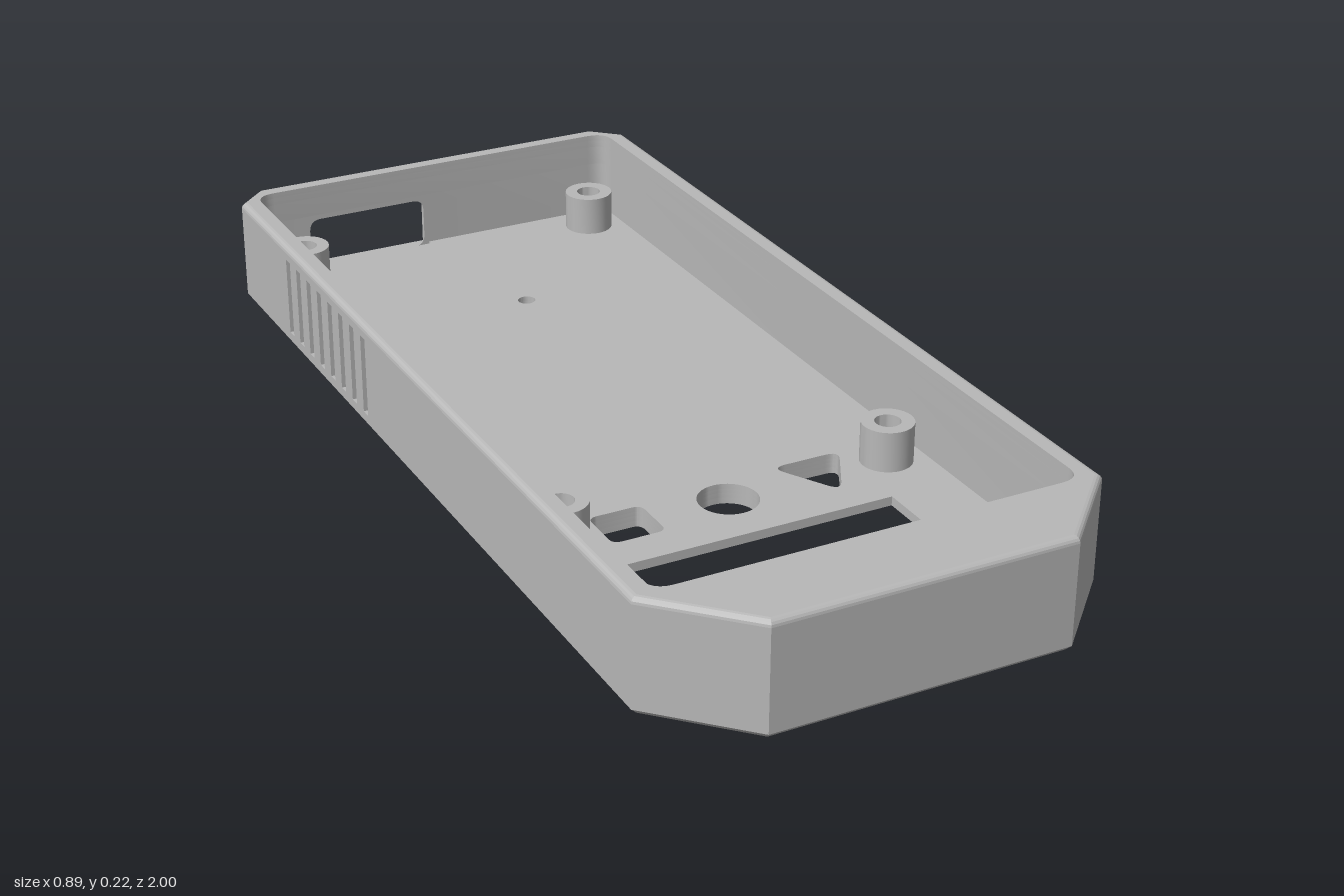
import * as THREE from 'three';
import { toCreasedNormals } from 'three/addons/utils/BufferGeometryUtils.js';

// Plan coordinates are [x, s] with s = -z, so the back of the case is +s.
const FLOOR = 0.04, RIM = 0.217, EDGE = 0.012;
const V = (p) => new THREE.Vector2(p[0], p[1]);

// Polygon whose corners are [x, s, r], softened by r where given
function rounded(verts, r = 0) {
  const out = [];
  verts.forEach((v, i) => {
    const c = V(v), d = v[2] ?? r;
    if (!d) return out.push([c.x, c.y]);
    const a = V(verts[(i + verts.length - 1) % verts.length]).sub(c).setLength(d).add(c);
    const b = V(verts[(i + 1) % verts.length]).sub(c).setLength(d).add(c);
    new THREE.QuadraticBezierCurve(a, c, b).getPoints(6).forEach((p) => out.push([p.x, p.y]));
  });
  return out;
}
const rect = (x0, x1, s0, s1, r = 0) => rounded([[x1, s1], [x1, s0], [x0, s0], [x0, s1]], r);
function circle(x, s, r, n = 32) {
  return Array.from({ length: n }, (_, i) => {
    const a = (i / n) * Math.PI * 2;
    return [x + r * Math.cos(a), s + r * Math.sin(a)];
  });
}

// Horizontal slab between two heights
function slab(outline, holes, y0, y1) {
  const shape = new THREE.Shape(outline.map(V));
  shape.holes = holes.map((h) => new THREE.Path(h.map(V)));
  const g = new THREE.ExtrudeGeometry(shape, { depth: y1 - y0, bevelEnabled: false });
  g.rotateX(-Math.PI / 2).translate(0, y0, 0);
  return toCreasedNormals(g, 0.6);
}

// Outer plan, with optional vent grooves in the sides and extra points along the back
function outline(inset = 0, grooves = false, back = []) {
  const k = inset * 0.414, w = 0.443 - inset, e = 1 - inset;
  const side = [[0.285 - k, -e], [w, -0.84 + k]];
  if (grooves) {
    for (let i = 0; i < 8; i++) {
      const s = 0.265 + i * 0.057;
      side.push([w, s], [w - 0.016, s], [w - 0.016, s + 0.022], [w, s + 0.022]);
    }
  }
  side.push([w, 0.945 - k], [0.385 - k, e]);
  const mirrored = side.map(([x, s]) => [-x, s]).reverse();
  return [...side, ...back, ...mirrored];
}

// Inner cavity, clockwise from the back +x corner, with optional clip pockets in the front wall
function cavity(clips = false) {
  const f = -0.835, p = -0.88, r = 0.04;
  const pocket = (a, b) => [[a, f, 0], [a, p, 0], [b, p, 0], [b, f, 0]];
  return rounded([
    [0.405, 0.965, r], [0.405, f, r],
    ...(clips ? [...pocket(0.32, 0.1), ...pocket(-0.1, -0.32)] : []),
    [-0.405, f, r], [-0.405, 0.965, r],
  ]);
}

// Sloping strip between two inset outlines
function band(i0, y0, i1, y1) {
  const a = outline(i0), b = outline(i1), pos = [];
  a.forEach((_, i) => {
    const j = (i + 1) % a.length;
    const P = (p, y) => [p[0], y, -p[1]];
    pos.push(...P(a[i], y0), ...P(a[j], y0), ...P(b[j], y1),
      ...P(a[i], y0), ...P(b[j], y1), ...P(b[i], y1));
  });
  const g = new THREE.BufferGeometry();
  g.setAttribute('position', new THREE.Float32BufferAttribute(pos, 3));
  g.computeVertexNormals();
  return g;
}

export function createModel() {
  const model = new THREE.Group();
  model.name = 'enclosureHalf';
  const grey = new THREE.MeshStandardMaterial({ color: 0xb8b8b8 });
  grey.name = 'grey plastic';
  const add = (name, g) => {
    const m = new THREE.Mesh(g, grey);
    m.name = name;
    model.add(m);
    return m;
  };

  // Openings that pass through the floor
  const posts = [[-0.33, 0.89], [0.33, 0.89], [-0.33, -0.35], [0.33, -0.35]];
  const through = [
    ...posts.map(([x, s]) => circle(x, s, 0.035)),
    circle(0.04, 0.59, 0.018, 20),
    circle(0, -0.35, 0.057, 40),
    rect(-0.255, -0.15, -0.4, -0.3, 0.018),
    rounded([[0.125, -0.283], [0.27, -0.283], [0.198, -0.413]], 0.03),
  ];
  const windowHole = (m) => rect(-0.265 - m, 0.265 + m, -0.795 - m, -0.475 + m);

  // Shallow decoration sunk into the underside
  const discs = [[0.14, 0.36], [-0.14, 0.36], [0, -0.073]].map(([x, s]) => circle(x, s, 0.063, 40));
  const studs = [[0.23, 0.09], [-0.23, 0.09]];
  const ribs = [];
  for (let i = 0; i < 8; i++) {
    const s = 0.345 - i * 0.045;
    const d = Math.max(0, Math.abs(s - 0.36) - 0.01);
    let half = 0.14 * (s + 0.073) / 0.433;
    if (d < 0.063) half = Math.min(half, 0.13 - Math.sqrt(0.063 ** 2 - d * d));
    ribs.push(rect(-half, half, s - 0.01, s + 0.01));
  }

  // Floor, in layers from the underside up
  add('bottomChamfer', band(EDGE, 0, 0, EDGE));
  add('undersidePlate', slab(outline(EDGE),
    [...through, windowHole(0.045), ...discs, ...ribs, ...studs.map(([x, s]) => circle(x, s, 0.04))], 0, EDGE));
  studs.forEach(([x, s]) => add('undersideStud', slab(circle(x, s, 0.023), [], 0, EDGE)));
  add('windowStepPlate', slab(outline(), [...through, windowHole(0.02)], EDGE, 0.022));
  add('floorPlate', slab(outline(), [...through, windowHole(0)], 0.022, 0.03));
  const notch = [[-0.02, 1], [-0.02, 0.955], [-0.3, 0.955], [-0.3, 1]];
  add('floorTop', slab(outline(0, true, notch), [...through, windowHole(0)], 0.03, FLOOR));

  // Walls: lower part is broken at the back for the port
  const gap = [[-0.02, 1], [-0.02, 0.965], ...cavity(), [-0.3, 0.965], [-0.3, 1]];
  add('lowerWall', slab(outline(0, true, gap), [], FLOOR, 0.15));
  add('clipWall', slab(outline(0, true), [cavity(true)], 0.15, 0.19));
  add('upperWall', slab(outline(), [cavity()], 0.19, RIM - EDGE));
  add('rim', slab(outline(EDGE), [cavity()], RIM - EDGE, RIM));

  // Rounded outer edge of the rim
  for (let i = 0; i < 4; i++) {
    const [a, b] = [i, i + 1].map((n) => (n / 4) * Math.PI / 2);
    const inset = (t) => EDGE * (1 - Math.cos(t)), h = (t) => RIM - EDGE + EDGE * Math.sin(t);
    add('rimFillet', band(inset(a), h(a), inset(b), h(b)));
  }

  // Port surround with rounded opening
  const port = new THREE.Shape(rect(-0.3, -0.02, 0.03, 0.15).map(V));
  port.holes.push(new THREE.Path(rect(-0.29, -0.03, 0.034, 0.14, 0.025).map(V)));
  const portGeo = new THREE.ExtrudeGeometry(port, { depth: 0.035, bevelEnabled: false });
  add('portSurround', toCreasedNormals(portGeo, 0.6)).position.z = -1;

  // Screw posts
  posts.forEach(([x, s]) => add('screwPost', slab(circle(x, s, 0.05), [circle(x, s, 0.025)], FLOOR, 0.12)));

  // Support blocks in the front corners
  add('rightSupportBlock', slab(rect(-0.407, -0.295, -0.837, -0.75), [], FLOOR, 0.11));
  add('leftSupportBlock', slab(rect(0.35, 0.407, -0.837, -0.75), [], FLOOR, 0.11));

  return model;
}
